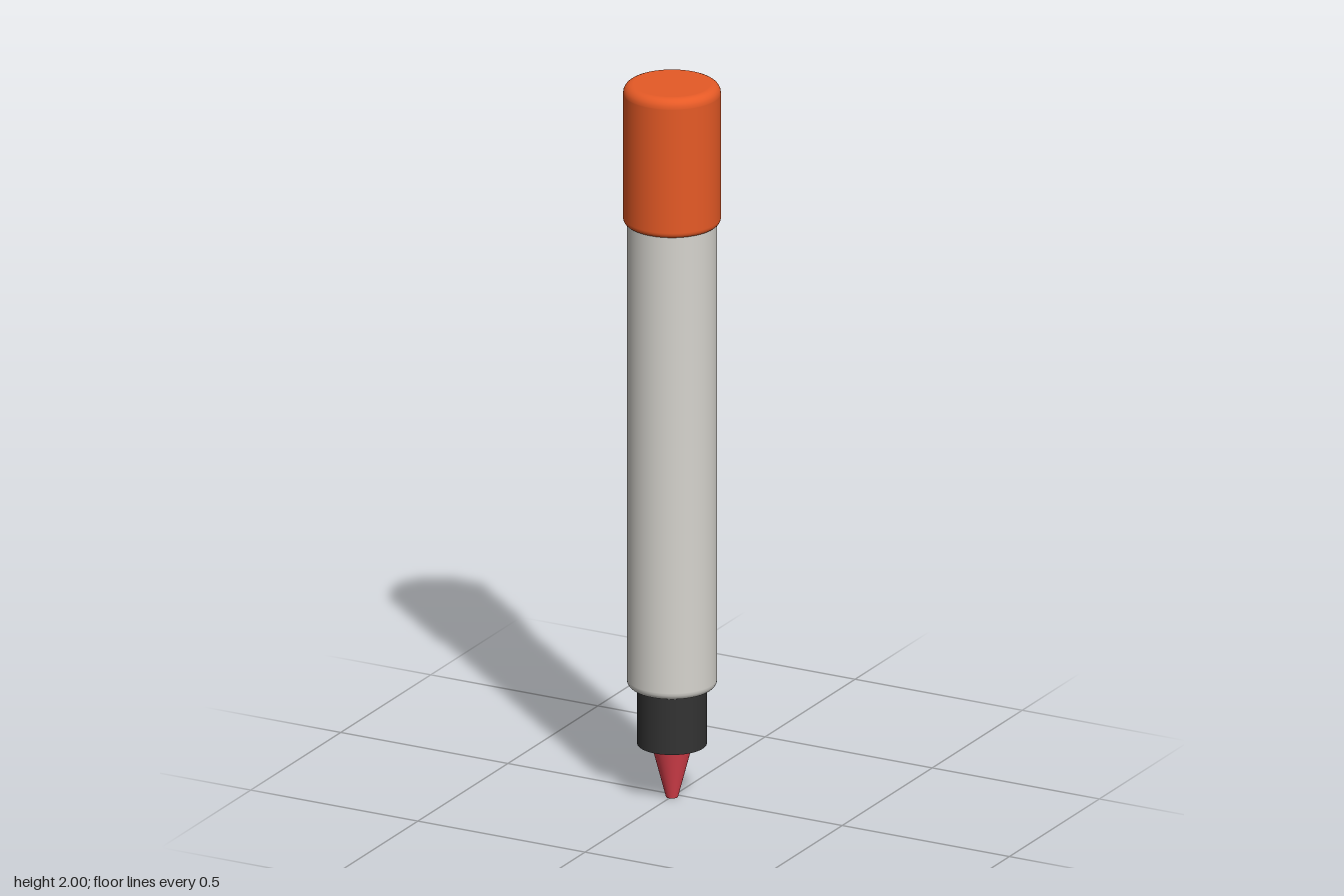
import * as THREE from 'three';
import { RoundedBoxGeometry } from 'three/addons/geometries/RoundedBoxGeometry.js';

const SIDES = 64;
const AXIS_Z = 0.017; // barrel axis sits forward to balance the clip

const mat = (name, color) => {
  const m = new THREE.MeshStandardMaterial({ color });
  m.name = name;
  return m;
};

// Closed cylinder with rounded bottom and top edges, standing from y0 to y1
function roundedCylinder(r, y0, y1, bottomR, topR) {
  const steps = 6;
  const pts = [new THREE.Vector2(0, y0), new THREE.Vector2(r - bottomR - 0.002, y0)];
  const arc = (cy, rad, from) => {
    for (let i = 0; i <= steps; i++) {
      const a = from + (i / steps) * Math.PI / 2;
      pts.push(new THREE.Vector2(r - rad + rad * Math.cos(a), cy + rad * Math.sin(a)));
    }
  };
  arc(y0 + bottomR, bottomR, -Math.PI / 2);
  // extra rings keep the long wall's shading straight
  pts.push(new THREE.Vector2(r, y0 + bottomR + 0.002), new THREE.Vector2(r, y1 - topR - 0.002));
  arc(y1 - topR, topR, 0);
  pts.push(new THREE.Vector2(r - topR - 0.002, y1), new THREE.Vector2(0, y1));
  return new THREE.LatheGeometry(pts, SIDES);
}

export function createModel() {
  const orange = mat('capOrange', 0xe65a26);
  const grey = mat('barrelGrey', 0xd6d4ce);
  const black = mat('gripBlack', 0x333333);
  const red = mat('tipRed', 0xe0424e);

  const model = new THREE.Group();
  model.name = 'markerPen';
  const add = (name, geometry, material, y = 0, z = AXIS_Z) => {
    const mesh = new THREE.Mesh(geometry, material);
    mesh.name = name;
    mesh.position.set(0, y, z);
    model.add(mesh);
  };

  // Barrel and cap
  add('barrel', roundedCylinder(0.119, 0.31, 1.64, 0.02, 0.02), grey);
  add('cap', roundedCylinder(0.129, 1.61, 2, 0.015, 0.025), orange);

  // Grip collar and tapered nib
  add('grip', new THREE.CylinderGeometry(0.092, 0.092, 0.18, SIDES), black, 0.24);
  add('tip', new THREE.CylinderGeometry(0.055, 0.016, 0.15, SIDES), red, 0.075);

  // Clip on the back of the cap
  add('clip', new RoundedBoxGeometry(0.052, 0.34, 0.04, 5, 0.014), orange, 1.75, -0.128);

  return model;
}
